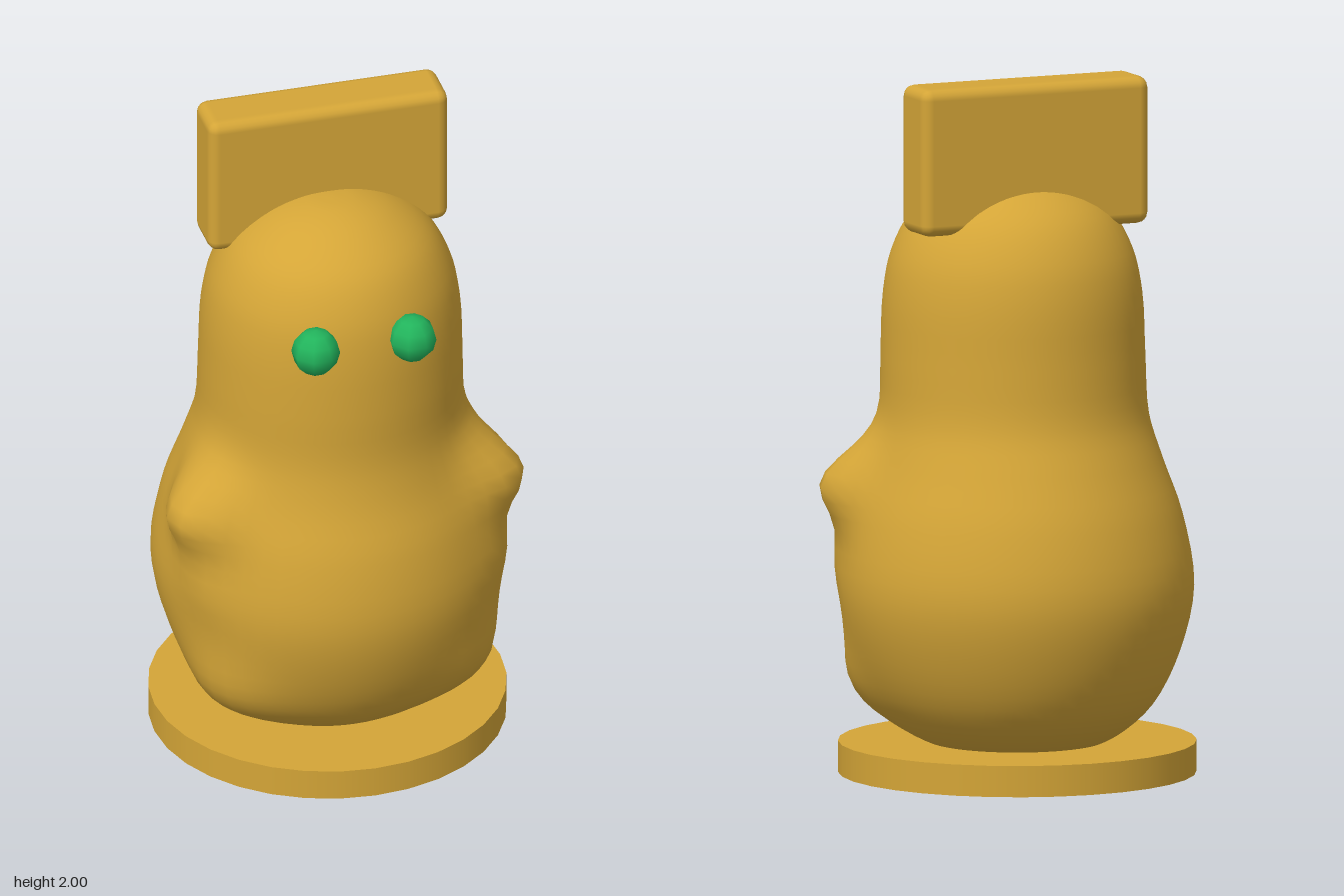
import * as THREE from 'three';
import { mergeVertices } from 'three/addons/utils/BufferGeometryUtils.js';
import { RoundedBoxGeometry } from 'three/addons/geometries/RoundedBoxGeometry.js';

const gold = new THREE.MeshStandardMaterial({ color: 0xd4a537 });
const green = new THREE.MeshStandardMaterial({ color: 0x22b45c });

// Body profile from bottom to top: radius, height, z of the ring centre
const PROFILE = [
  [0, 0.07, 0], [0.2, 0.075, 0], [0.29, 0.11, 0], [0.39, 0.2, 0], [0.465, 0.35, 0],
  [0.505, 0.54, 0], [0.475, 0.74, 0.005], [0.42, 0.9, 0.01], [0.385, 1.03, 0.022],
  [0.378, 1.2, 0.03], [0.37, 1.38, 0.032], [0.345, 1.5, 0.035], [0.285, 1.61, 0.04],
  [0.18, 1.69, 0.045], [0.08, 1.725, 0.05], [0, 1.732, 0.05],
].map((p) => new THREE.Vector3(...p));

// Soft swellings, mirrored left and right: centre, spread, push
const SWELLINGS = [
  { at: new THREE.Vector3(0.41, 0.84, 0.18), spread: 0.12, push: 0.12 }, // shoulder
  { at: new THREE.Vector3(0.44, 0.62, 0.25), spread: 0.1, push: 0.02 }, // forearm
  { at: new THREE.Vector3(0.35, 0.23, 0.24), spread: 0.16, push: 0.06 }, // foot
];

function bodyGeometry() {
  const rings = new THREE.CatmullRomCurve3(PROFILE).getPoints(60);
  const outline = rings.map((p) => new THREE.Vector2(Math.max(p.x, 0), p.y));
  const lathe = new THREE.LatheGeometry(outline, 56);
  const pos = lathe.attributes.position;
  const p = new THREE.Vector3();
  const mirrored = new THREE.Vector3();
  for (let i = 0; i < pos.count; i++) {
    p.fromBufferAttribute(pos, i);
    const out = new THREE.Vector3(p.x, 0, p.z).normalize();
    p.z += rings[i % rings.length].z;
    mirrored.set(Math.abs(p.x), p.y, p.z);
    let push = 0;
    for (const s of SWELLINGS) {
      push += s.push * Math.exp(-mirrored.distanceToSquared(s.at) / s.spread ** 2);
    }
    p.addScaledVector(out, push);
    pos.setXYZ(i, p.x, p.y, p.z);
  }
  // Weld the seam so the shading stays smooth
  lathe.deleteAttribute('uv');
  lathe.deleteAttribute('normal');
  const welded = mergeVertices(lathe, 1e-4);
  welded.computeVertexNormals();
  return welded;
}

export function createModel() {
  const model = new THREE.Group();
  const add = (name, geometry, material, x, y, z) => {
    const mesh = new THREE.Mesh(geometry, material);
    mesh.name = name;
    mesh.position.set(x, y, z);
    model.add(mesh);
    return mesh;
  };

  // Round stand
  add('base', new THREE.CylinderGeometry(0.512, 0.512, 0.09, 32), gold, 0, 0.045, 0);

  // Pear-shaped body with head, shoulders and feet in one skin
  add('body', bodyGeometry(), gold, 0, 0, 0);

  // Upright slab set into the head
  add('headSlab', new RoundedBoxGeometry(0.71, 0.425, 0.166, 2, 0.032), gold, 0, 1.7875, -0.057);

  // Faceted eyes
  for (const side of [-1, 1]) {
    const eye = add(side > 0 ? 'leftEye' : 'rightEye',
      new THREE.SphereGeometry(0.07, 8, 6), green, side * 0.143, 1.43, 0.39);
    eye.rotation.y = side * 0.35;
  }
  return model;
}
